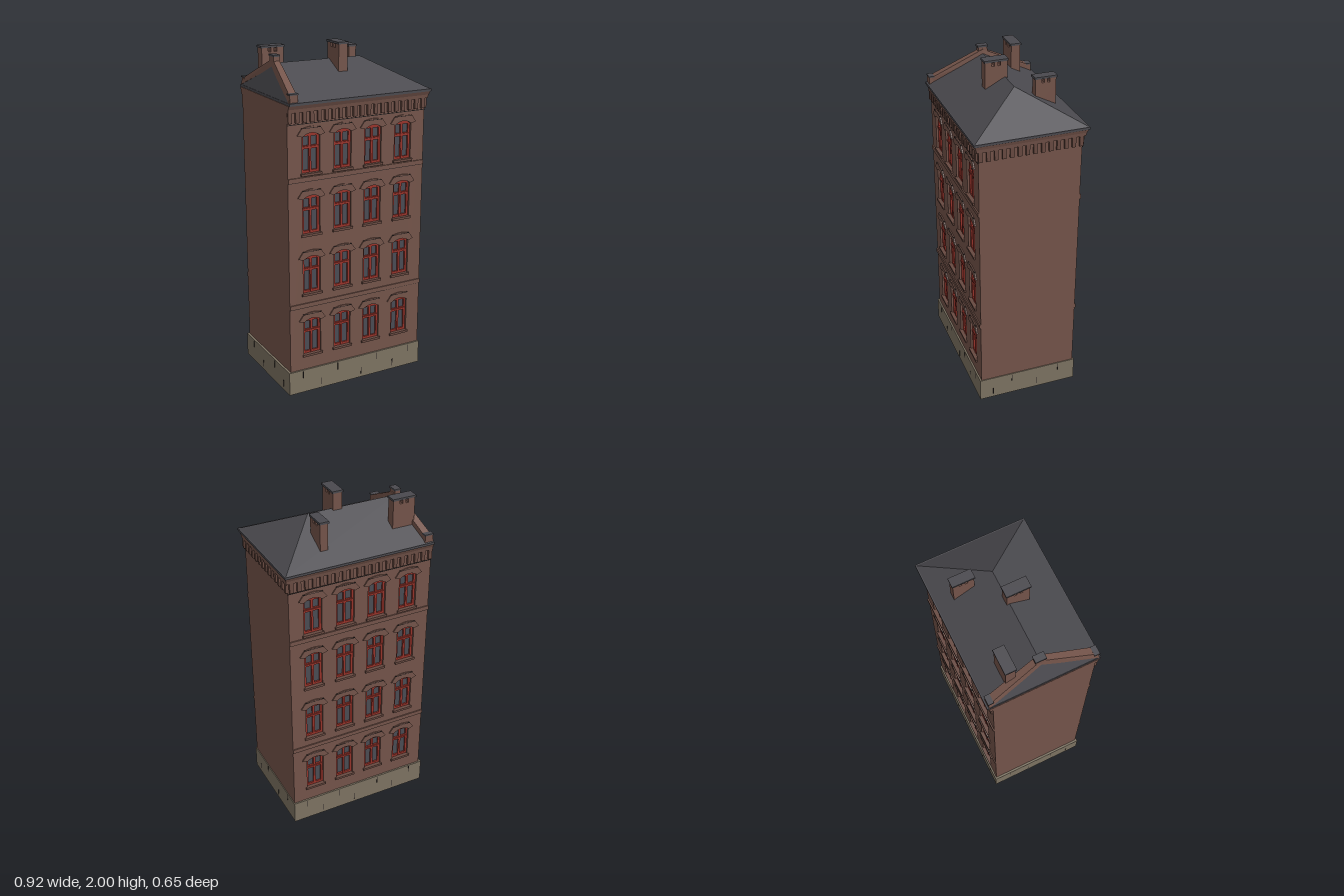
import * as THREE from 'three';
import { ConvexGeometry } from 'three/addons/geometries/ConvexGeometry.js';

const mat = (name, color) => {
  const m = new THREE.MeshStandardMaterial({ color });
  m.name = name;
  return m;
};

export function createModel() {
  const brick = mat('brick', 0x74544a);
  const trim = mat('brick trim', 0x684a41);
  const slate = mat('slate', 0x4a494e);
  const stone = mat('base stone', 0x7d7362);
  const red = mat('red window frame', 0x98332a);
  const glass = mat('window glass', 0x4a4c54);
  const dark = mat('dark joints', 0x2a2423);

  const model = new THREE.Group();
  model.name = 'townhouse';

  const mesh = (parent, name, geo, material) => {
    const m = new THREE.Mesh(geo, material);
    m.name = name;
    parent.add(m);
    return m;
  };
  // Box given by its minimum and maximum on each axis
  const box = (parent, name, material, x0, x1, y0, y1, z0, z1) => {
    const m = mesh(parent, name, new THREE.BoxGeometry(x1 - x0, y1 - y0, z1 - z0), material);
    m.position.set((x0 + x1) / 2, (y0 + y1) / 2, (z0 + z1) / 2);
    return m;
  };
  const hull = (parent, name, material, pts) =>
    mesh(parent, name, new ConvexGeometry(pts.map((p) => new THREE.Vector3(...p))), material);
  const extrude = (shape, depth) =>
    new THREE.ExtrudeGeometry(shape, { depth, bevelEnabled: false, curveSegments: 8 });

  // Opening with a shallow arched head
  const arched = (path, cx, y, hw, spring, rise) => {
    path.moveTo(cx - hw, y);
    path.lineTo(cx + hw, y);
    path.lineTo(cx + hw, y + spring);
    path.quadraticCurveTo(cx, y + spring + rise * 2, cx - hw, y + spring);
    path.closePath();
    return path;
  };
  const rect = (x0, x1, y0, y1) => {
    const p = new THREE.Path();
    p.moveTo(x0, y0);
    p.lineTo(x1, y0);
    p.lineTo(x1, y1);
    p.lineTo(x0, y1);
    p.closePath();
    return p;
  };

  // Stone base with staggered joints; its underside is brick
  box(model, 'base', [stone, stone, stone, brick, stone, stone], -0.458, 0.435, 0, 0.142, -0.305, 0.305);
  for (const s of [1, -1]) {
    [-0.37, -0.25, -0.14, 0.02, 0.13, 0.24, 0.35].forEach((x, i) => {
      const y = i % 2 ? 0.02 : 0.09;
      box(model, 'baseJoint', dark, x, x + 0.004, y, y + 0.045, s * 0.3055 - 0.001, s * 0.3055 + 0.001);
    });
    [-0.2, -0.06, 0.1, 0.22].forEach((z, i) => {
      const y = i % 2 ? 0.02 : 0.09;
      const x = s > 0 ? 0.4355 : -0.4585;
      box(model, 'baseJoint', dark, x - 0.001, x + 0.001, y, y + 0.045, z, z + 0.004);
    });
  }

  // Solid core behind the two window walls
  box(model, 'wallCore', brick, -0.445, 0.43, 0.14, 1.7, -0.268, 0.268);

  // Shared window geometries, origin at the middle of the sill
  const columns = [-0.295, -0.0975, 0.0975, 0.295];
  const rows = [0.235, 0.617, 0.975, 1.328];
  const HW = 0.055, SPRING = 0.208, RISE = 0.02;

  const frameShape = arched(new THREE.Shape(), 0, 0, HW, SPRING, RISE);
  for (const s of [-1, 1]) {
    const a = s < 0 ? -0.042 : 0.007;
    frameShape.holes.push(rect(a, a + 0.035, 0.016, 0.136), rect(a, a + 0.035, 0.154, 0.206));
  }
  const frameGeo = extrude(frameShape, 0.01);
  const glassGeo = new THREE.ShapeGeometry(arched(new THREE.Shape(), 0, 0, HW, SPRING, RISE), 8);

  const hood = new THREE.Shape();
  hood.moveTo(-0.085, 0.218);
  hood.lineTo(-0.06, 0.252);
  hood.quadraticCurveTo(0, 0.276, 0.06, 0.252);
  hood.lineTo(0.085, 0.218);
  hood.lineTo(0.055, SPRING);
  hood.quadraticCurveTo(0, SPRING + RISE * 2, -0.055, SPRING);
  hood.closePath();
  const hoodGeo = extrude(hood, 0.007);

  // Window wall, built once and turned round for the back
  const wallShape = new THREE.Shape(rect(-0.4375, 0.4375, 0.14, 1.7).getPoints());
  for (const y of rows) for (const x of columns)
    wallShape.holes.push(arched(new THREE.Path(), x, y, HW, SPRING, RISE));
  const wallGeo = extrude(wallShape, 0.027);

  for (const side of ['front', 'back']) {
    const wall = new THREE.Group();
    wall.name = side + 'Wall';
    wall.position.x = -0.0075;
    if (side === 'back') wall.rotation.y = Math.PI;
    model.add(wall);
    mesh(wall, 'brickFace', wallGeo, brick).position.z = 0.268;

    for (const y of rows) for (const x of columns) {
      const win = new THREE.Group();
      win.name = 'window';
      win.position.set(x, y, 0.268);
      wall.add(win);
      mesh(win, 'glass', glassGeo, glass).position.z = 0.002;
      mesh(win, 'frame', frameGeo, red).position.z = 0.005;
      mesh(win, 'hood', hoodGeo, brick).position.z = 0.027;
      box(win, 'hoodShadowLine', dark, -0.058, 0.058, 0.2535, 0.2565, 0.027, 0.0345);
      box(win, 'transom', red, -0.052, 0.052, 0.139, 0.151, 0.014, 0.02);
      box(win, 'mullion', red, -0.006, 0.006, 0.006, 0.14, 0.014, 0.018);
      box(win, 'sill', trim, -0.064, 0.064, -0.012, 0.002, 0.012, 0.037);
    }
    // String courses under the second and fourth floors
    for (const y of [0.535, 1.285]) {
      box(wall, 'stringCourse', brick, -0.4375, 0.4375, y, y + 0.025, 0.29, 0.302);
      box(wall, 'stringCourseLine', dark, -0.4375, 0.4375, y - 0.003, y, 0.29, 0.299);
    }
  }

  // Cornice: corbels on three sides, a band and a flared crown
  for (const s of [1, -1]) for (let i = 0; i < 20; i++) {
    const x = -0.432 + i * 0.0445;
    box(model, 'corbel', trim, x - 0.011, x + 0.011, 1.618, 1.68, s * 0.3 - 0.008, s * 0.3 + 0.008);
  }
  for (let i = 0; i < 14; i++) {
    const z = -0.286 + i * 0.044;
    box(model, 'corbel', trim, 0.427, 0.443, 1.618, 1.68, z - 0.011, z + 0.011);
  }
  for (const s of [1, -1])
    box(model, 'corbelLine', dark, -0.445, 0.433, 1.606, 1.61, s * 0.296 - 0.002, s * 0.296 + 0.002);
  const ring = (x0, x1, y, z) => [[x0, y, z], [x1, y, z], [x1, y, -z], [x0, y, -z]];
  hull(model, 'corniceBand', brick, [...ring(-0.445, 0.443, 1.675, 0.308), ...ring(-0.445, 0.446, 1.695, 0.312)]);
  hull(model, 'corniceCrown', brick, [...ring(-0.445, 0.446, 1.695, 0.312), ...ring(-0.445, 0.453, 1.716, 0.322)]);

  // Hipped roof: sloping at the left end, nearly upright at the other
  box(model, 'eaves', slate, -0.442, 0.457, 1.716, 1.73, -0.326, 0.326);
  hull(model, 'roof', slate, [...ring(-0.44, 0.45, 1.73, 0.32), [-0.385, 1.895, 0], [0.17, 1.895, 0]]);

  // Brick parapets climbing the steep end, with end blocks and a peak block
  for (const s of [1, -1]) {
    hull(model, 'parapet', brick, [
      [-0.443, 1.73, s * 0.315], [-0.392, 1.73, s * 0.315], [-0.434, 1.765, s * 0.315], [-0.39, 1.765, s * 0.315],
      [-0.392, 1.87, 0], [-0.345, 1.87, 0], [-0.385, 1.92, 0], [-0.35, 1.92, 0],
    ]);
    const z = s * 0.302;
    box(model, 'parapetEnd', brick, -0.436, -0.388, 1.73, 1.772, z - 0.014, z + 0.014);
    box(model, 'parapetEndCap', slate, -0.439, -0.385, 1.772, 1.78, z - 0.016, z + 0.016);
  }
  box(model, 'peakBlock', brick, -0.389, -0.354, 1.87, 1.932, -0.03, 0.025);
  box(model, 'peakCap', slate, -0.392, -0.351, 1.932, 1.942, -0.034, 0.029);

  // Chimneys: shaft, open vents between piers, and a slab cap
  const chimney = (x0, x1, z0, z1, bottom, top) => {
    const g = new THREE.Group();
    g.name = 'chimney';
    model.add(g);
    const i = 0.005, vent = top - 0.036, lid = top - 0.012;
    box(g, 'shaft', brick, x0 + i, x1 - i, bottom, vent, z0 + i, z1 - i);
    const alongX = x1 - x0 > z1 - z0;
    const [a, b] = alongX ? [x0 + i, x1 - i] : [z0 + i, z1 - i];
    for (const [f0, f1] of [[0, 0.3], [0.43, 0.57], [0.7, 1]]) {
      const p = a + (b - a) * f0, q = a + (b - a) * f1;
      if (alongX) box(g, 'pier', brick, p, q, vent, lid, z0 + i, z1 - i);
      else box(g, 'pier', brick, x0 + i, x1 - i, vent, lid, p, q);
    }
    box(g, 'cap', slate, x0, x1, lid, top, z0, z1);
  };
  chimney(-0.39, -0.245, -0.2, -0.135, 1.77, 1.97);
  chimney(-0.036, 0.03, -0.02, 0.12, 1.8, 2.0);
  chimney(0.156, 0.212, -0.233, -0.103, 1.75, 1.945);

  return model;
}
